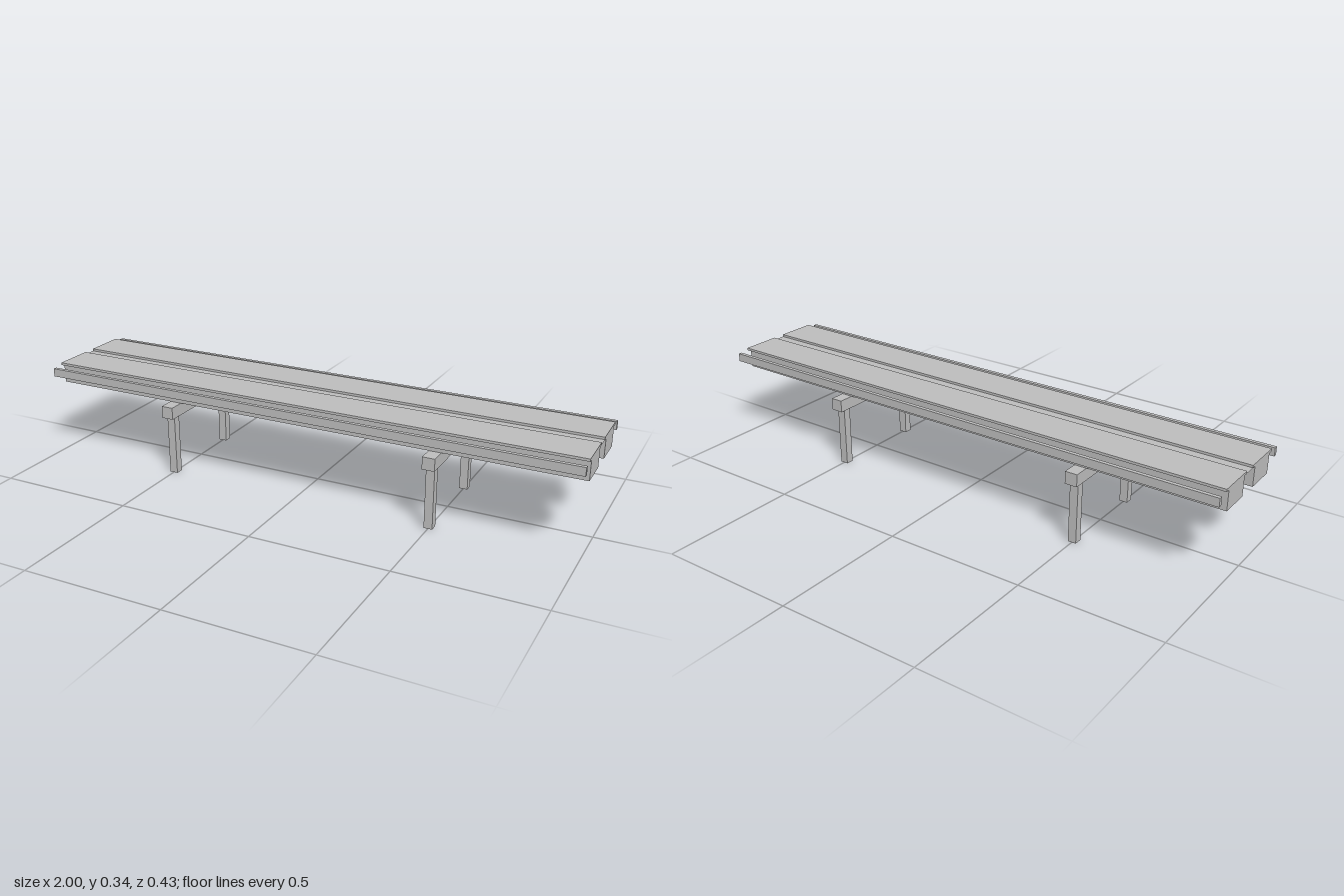
import * as THREE from 'three';

export function createModel() {
  const group = new THREE.Group();
  const grey = new THREE.MeshStandardMaterial({ color: 0xbcbcbc, side: THREE.DoubleSide });
  grey.name = 'plain grey';

  const add = (name, geometry, x, y, z) => {
    const mesh = new THREE.Mesh(geometry, grey);
    mesh.name = name;
    mesh.position.set(x, y, z);
    group.add(mesh);
    return mesh;
  };

  // Box given by its size, x and z centre and bottom height
  const box = (name, w, h, d, x, bottom, z) =>
    add(name, new THREE.BoxGeometry(w, h, d), x, bottom + h / 2, z);

  // Box without its underside, for the hollow beams
  const openBox = (w, h, d) => {
    const g = new THREE.BoxGeometry(w, h, d);
    const index = Array.from(g.index.array);
    index.splice(18, 6);
    g.setIndex(index);
    g.clearGroups();
    return g;
  };

  for (const side of [1, -1]) {
    // Long hollow beam, the deck plank on it and the outer rail
    add('beam', openBox(2, 0.071, 0.113), 0, 0.2985, side * 0.095);
    box('deckPlank', 2, 0.009, 0.145, 0, 0.334, side * 0.0955);
    box('sideRail', 2, 0.03, 0.014, 0, 0.303, side * 0.206);
  }

  // Thin sheet closing the slot between the planks
  const sheet = add('centreSheet', new THREE.PlaneGeometry(2, 0.08), 0, 0.3345, 0);
  sheet.rotation.x = -Math.PI / 2;

  // Two trestles, each a cross bar on two legs
  for (const x of [-0.5, 0.5]) {
    box('crossBar', 0.044, 0.044, 0.416, x, 0.219, 0);
    for (const z of [-0.172, 0.172]) box('leg', 0.03, 0.219, 0.029, x, 0, z);
  }

  return group;
}
